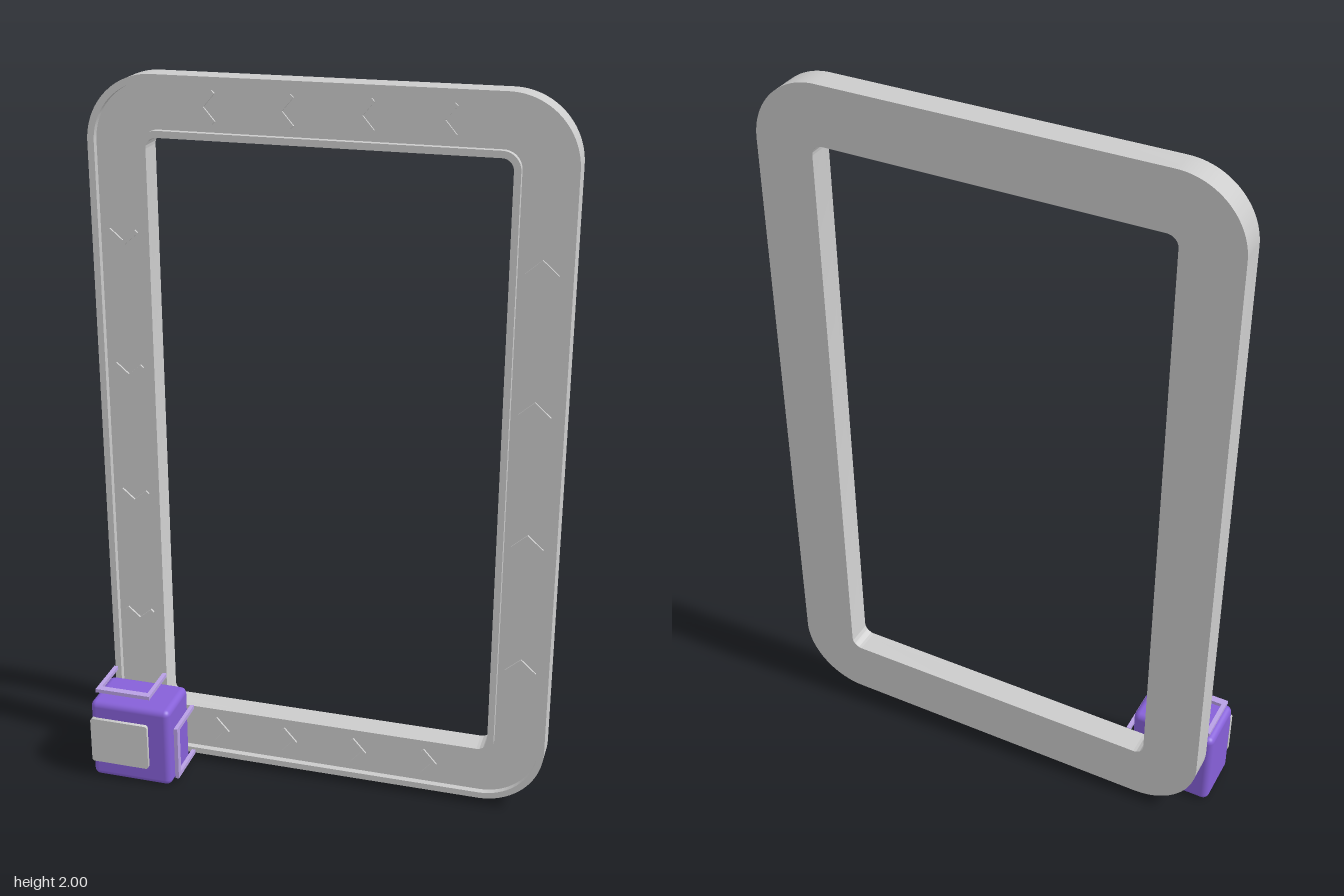
import * as THREE from 'three';
import { RoundedBoxGeometry } from 'three/addons/geometries/RoundedBoxGeometry.js';
import { toCreasedNormals } from 'three/addons/utils/BufferGeometryUtils.js';

const grey = new THREE.MeshStandardMaterial({ color: 0xcccccc });
const purple = new THREE.MeshStandardMaterial({ color: 0x8660d8 });
const lilac = new THREE.MeshStandardMaterial({ color: 0xb8a0e4 });

// Rounded rectangle between two corners, as a Shape or a hole Path
function roundedRect(Type, x0, y0, x1, y1, r) {
  const p = new Type();
  p.absarc(x1 - r, y0 + r, r, -Math.PI / 2, 0);
  p.absarc(x1 - r, y1 - r, r, 0, Math.PI / 2);
  p.absarc(x0 + r, y1 - r, r, Math.PI / 2, Math.PI);
  p.absarc(x0 + r, y0 + r, r, Math.PI, Math.PI * 1.5);
  p.closePath();
  return p;
}

function extrude(shape, depth) {
  const geo = new THREE.ExtrudeGeometry(shape, { depth, bevelEnabled: false, curveSegments: 16 });
  return toCreasedNormals(geo, 0.6);
}

function add(parent, name, geo, material, x = 0, y = 0, z = 0) {
  const mesh = new THREE.Mesh(geo, material);
  mesh.name = name;
  mesh.position.set(x, y, z);
  parent.add(mesh);
  return mesh;
}

// Frame outline moved inwards by "inset"
const outline = (Type, inset, r) =>
  roundedRect(Type, -0.63 + inset, 0.02 + inset, 0.64 - inset, 2 - inset, r);

function ring(insetA, rA, insetB, rB, depth) {
  const shape = outline(THREE.Shape, insetA, rA);
  shape.holes.push(outline(THREE.Path, insetB, rB));
  return extrude(shape, depth);
}

// V-shaped marker pointing along +x, centred on its own middle
function chevronGeometry() {
  const t = 0.016;
  const shape = new THREE.Shape([
    [0.023, 0], [-0.015, 0.043], [-0.023, 0.035], [0.023 - t, 0], [-0.023, -0.035], [-0.015, -0.043],
  ].map(([x, y]) => new THREE.Vector2(x, y)).reverse());
  return new THREE.ExtrudeGeometry(shape, { depth: 0.007, bevelEnabled: false });
}

// Flat U-shaped loop, open at the bottom of its own plane
function bracketGeometry() {
  const w = 0.082, h = 0.14, side = 0.012, front = 0.02;
  const shape = new THREE.Shape([
    [-w, 0], [-w + side, 0], [-w + side, h - front], [w - side, h - front],
    [w - side, 0], [w, 0], [w, h], [-w, h],
  ].map(([x, y]) => new THREE.Vector2(x, y)));
  return new THREE.ExtrudeGeometry(shape, { depth: 0.011, bevelEnabled: false });
}

export function createModel() {
  const model = new THREE.Group();
  model.name = 'trackFrame';

  // Track: back plate with raised rims on both edges
  const floorZ = -0.068;
  const track = new THREE.Group();
  track.name = 'track';
  model.add(track);
  add(track, 'trackBase', ring(0, 0.18, 0.16, 0.03, 0.054), grey, 0, 0, -0.122);
  add(track, 'outerRim', ring(0, 0.18, 0.018, 0.162, 0.018), grey, 0, 0, floorZ);
  add(track, 'innerRim', ring(0.142, 0.048, 0.16, 0.03, 0.018), grey, 0, 0, floorZ);

  // Direction markers, running anticlockwise round the track
  const markers = new THREE.Group();
  markers.name = 'directionMarkers';
  model.add(markers);
  const chevron = chevronGeometry();
  for (let i = 0; i < 4; i++) {
    const x = -0.308 + i * 0.207;
    const y = 0.45 + i * 0.373;
    [[x, 0.1, 0], [0.56, y, 1], [x, 1.922, 2], [-0.55, y, 3]].forEach(([px, py, turn]) => {
      const mark = add(markers, 'chevron', chevron, grey, px, py, floorZ - 0.001);
      mark.rotation.z = turn * Math.PI / 2;
    });
  }

  // Rounded carriage on the bottom corner, with a face plate
  const carriage = new THREE.Group();
  carriage.name = 'carriage';
  model.add(carriage);
  add(carriage, 'carriageBody', new RoundedBoxGeometry(0.24, 0.245, 0.161, 4, 0.018), purple, -0.525, 0.1225, 0.0305);
  add(carriage, 'facePlate', extrude(roundedRect(THREE.Shape, -0.642, 0.055, -0.469, 0.195, 0.008), 0.014), grey, 0, 0, 0.108);

  // Guide loops above and beside the carriage
  const bracket = bracketGeometry();
  const top = add(carriage, 'topGuide', bracket, lilac, -0.552, 0.276, -0.05);
  top.rotation.x = Math.PI / 2;
  const side = add(carriage, 'sideGuide', bracket, lilac, -0.399, 0.1, -0.05);
  side.rotation.set(Math.PI / 2, Math.PI / 2, 0, 'YXZ');
  // Basis: loop width along y, loop depth along +z, thickness along +x
  side.quaternion.setFromRotationMatrix(new THREE.Matrix4().makeBasis(
    new THREE.Vector3(0, 1, 0), new THREE.Vector3(0, 0, 1), new THREE.Vector3(1, 0, 0)));

  return model;
}
